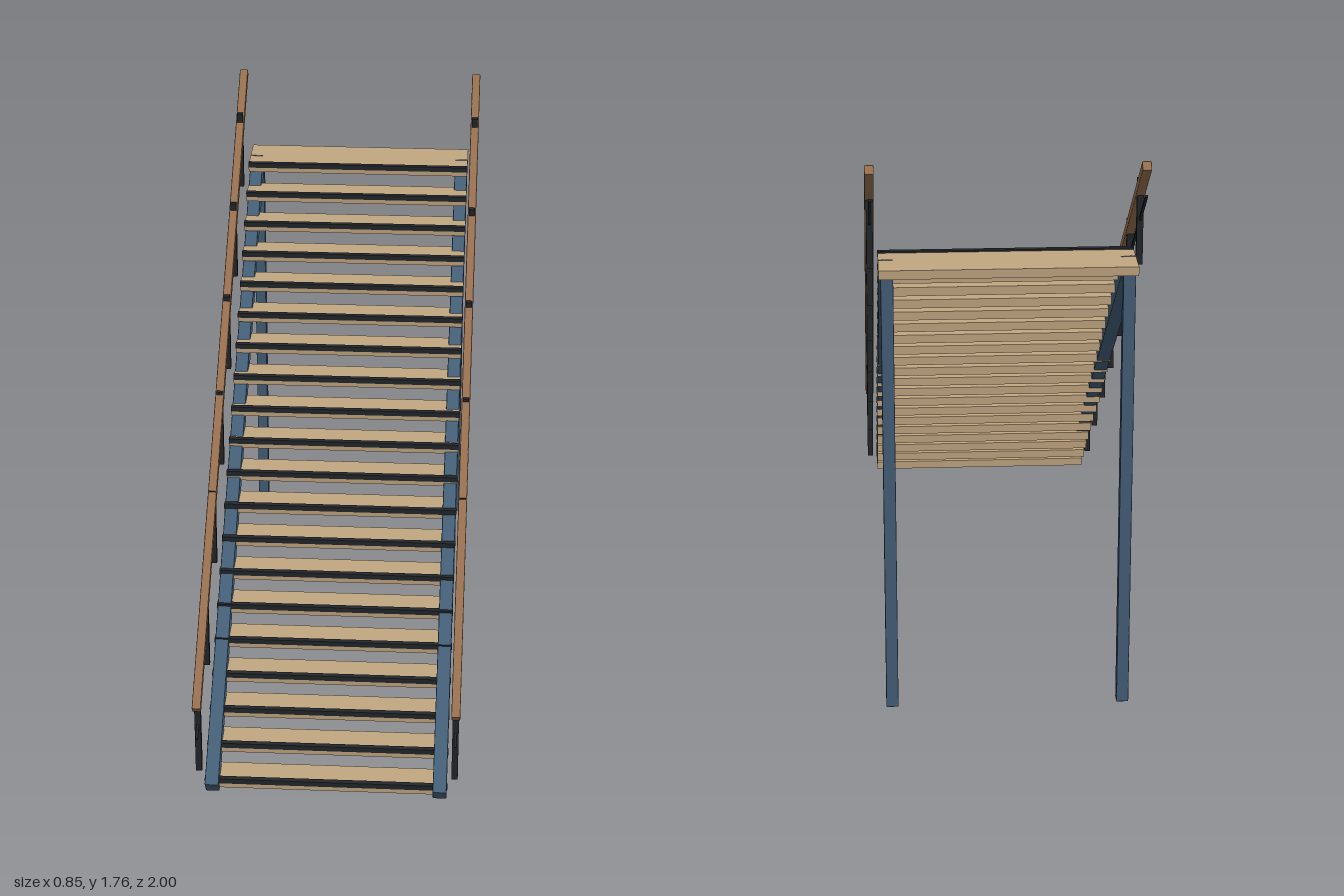
import * as THREE from 'three';
import { RoundedBoxGeometry } from 'three/addons/geometries/RoundedBoxGeometry.js';

const mat = (name, color) => {
  const m = new THREE.MeshStandardMaterial({ color });
  m.name = name;
  return m;
};

export function createModel() {
  const steel = mat('blueSteel', 0x456079);
  const wood = mat('paleWood', 0xc2a782);
  const railWood = mat('brownWood', 0x99714f);
  const black = mat('blackMetal', 0x23272b);

  const model = new THREE.Group();
  model.name = 'staircase';

  const add = (name, geometry, material, x, y, z) => {
    const mesh = new THREE.Mesh(geometry, material);
    mesh.name = name;
    mesh.position.set(x, y, z);
    model.add(mesh);
    return mesh;
  };

  // Bar of given cross-section sloping from a to b, each point as [z, y]
  const slopedBar = (name, material, x, a, b, w, h, bevel) => {
    const dz = b[0] - a[0], dy = b[1] - a[1];
    const length = Math.hypot(dz, dy);
    const geometry = bevel
      ? new RoundedBoxGeometry(w, h, length, 1, bevel)
      : new THREE.BoxGeometry(w, h, length);
    const bar = add(name, geometry, material, x, (a[1] + b[1]) / 2, (a[0] + b[0]) / 2);
    bar.rotation.x = Math.atan(-dy / dz);
    return bar;
  };

  // Steps: 19 treads and a deeper top landing, each with a dark nosing
  const count = 20, run = 0.0942, rise = 0.0726, thick = 0.028;
  for (let i = 0; i < count; i++) {
    const top = i === count - 1;
    const noseZ = 0.964 - run * i;
    const front = noseZ + 0.01;
    const depth = top ? front + 1 : 0.101;
    const baseY = 0.041 + rise * i;
    const width = i < 6 ? 0.768 : 0.772; // upper treads overlap the stringers
    add(top ? 'landing' : 'tread', new THREE.BoxGeometry(width, thick, depth),
      wood, 0, baseY + thick / 2, front - depth / 2);
    add('nosing', new THREE.BoxGeometry(0.774, 0.017, 0.018),
      black, 0, baseY + 0.0245, noseZ + 0.003);
  }

  for (const side of [-1, 1]) {
    // Stringer and rear support post
    slopedBar('stringer', steel, side * 0.363, [0.985, 0.045], [-0.917, 1.428], 0.044, 0.058, 0.003);
    add('supportPost', new RoundedBoxGeometry(0.038, 1.447, 0.038, 1, 0.003),
      steel, side * 0.361, 1.447 / 2, -0.955);

    // Handrail and thin middle rail
    const x = side * 0.409;
    slopedBar('handrail', railWood, x, [0.962, 0.323], [-0.95, 1.745], 0.028, 0.03, 0.003);
    slopedBar('middleRail', black, x, [0.973, 0.222], [-0.947, 1.65], 0.008, 0.008);

    // Balusters, one every third step
    for (let i = 0; i < 7; i++) {
      add('baluster', new THREE.BoxGeometry(0.02, 0.272, 0.018),
        black, x, 0.213 + 0.2178 * i, 0.929 - 0.2838 * i);
    }
  }
  return model;
}
